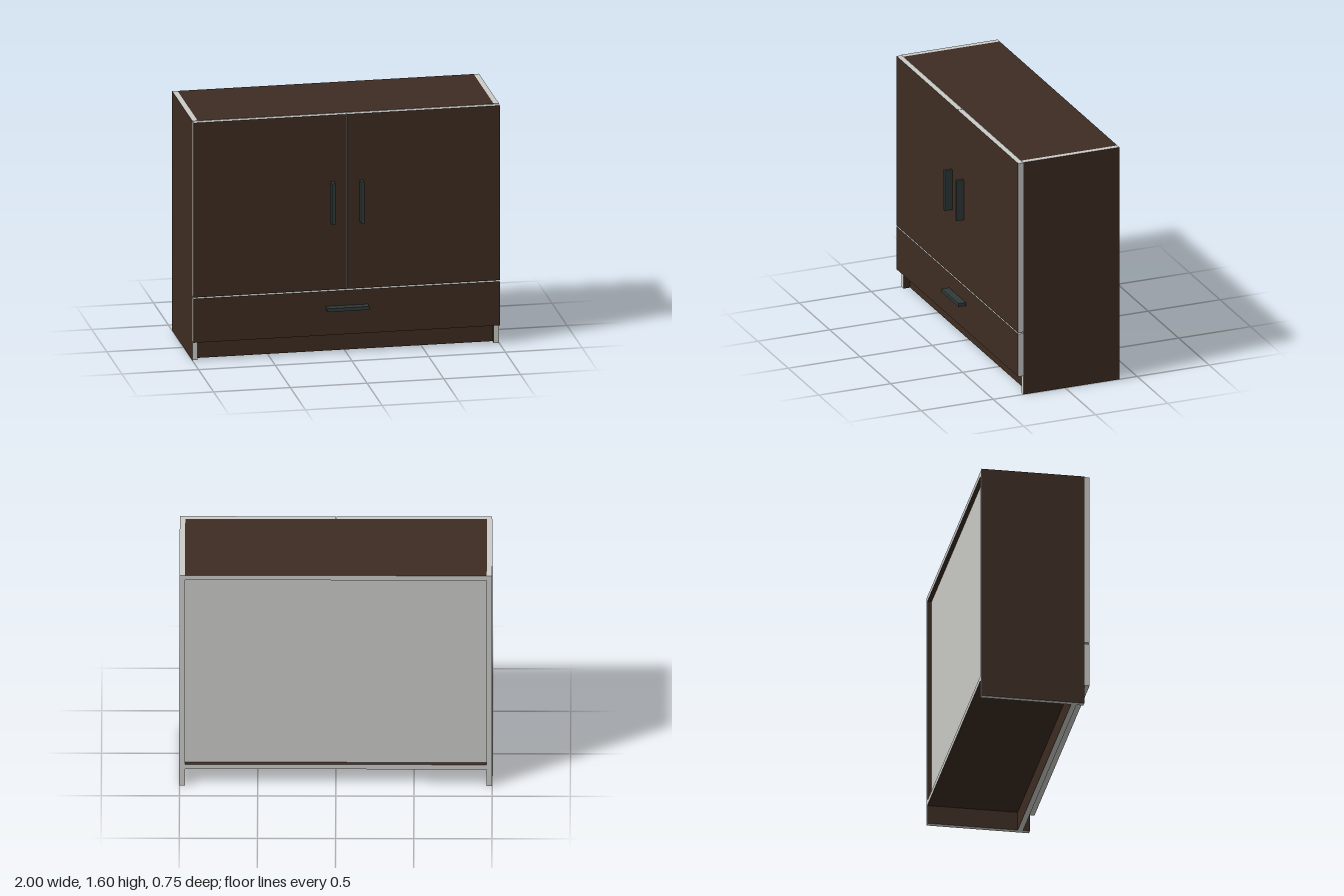
import * as THREE from 'three';

export function createModel() {
  const model = new THREE.Group();
  model.name = 'cabinet';
  const mat = (name, color) => {
    const m = new THREE.MeshStandardMaterial({ color });
    m.name = name;
    return m;
  };
  const wood = mat('dark wood', 0x3d2c22);
  const edge = mat('pale board edge', 0xcbcbc8);
  const metal = mat('dark metal', 0x303a3a);

  // Box given by its min and max corners
  function box(name, x, y, z, material, parent = model) {
    const g = new THREE.BoxGeometry(x[1] - x[0], y[1] - y[0], z[1] - z[0]);
    const mesh = new THREE.Mesh(g, material);
    mesh.name = name;
    mesh.position.set((x[0] + x[1]) / 2, (y[0] + y[1]) / 2, (z[0] + z[1]) / 2);
    parent.add(mesh);
    return mesh;
  }
  // Board: wood on the two faces across the given axis, pale on the edges
  function board(name, axis, x, y, z) {
    const i = 'xyz'.indexOf(axis);
    const mats = [0, 0, 1, 1, 2, 2].map((a) => (a === i ? wood : edge));
    return box(name, x, y, z, mats);
  }

  const T = 0.035, H = 1.6, IN = 1 - T;
  const back = -0.377, front = 0.29, face = front + T;
  const inner = [-IN, IN];

  // Carcass
  board('rightSide', 'x', [-1, -IN], [0, H], [back, front]);
  board('leftSide', 'x', [IN, 1], [0, H], [back, front]);
  board('topPanel', 'y', inner, [H - T, H], [back, front]);
  board('bottomPanel', 'y', inner, [0.125, 0.125 + T], [back, front]);
  board('drawerDivider', 'y', inner, [0.405, 0.44], [back + 0.045, front]);
  board('plinth', 'z', inner, [0, 0.125], [0.21, 0.245]);
  box('backPanel', inner, [0.125 + T, H - T], [back + 0.028, back + 0.042], edge);

  // Doors and drawer front
  board('rightDoor', 'z', [-0.998, -0.002], [0.43, 1.597], [front, face]);
  board('leftDoor', 'z', [0.002, 0.998], [0.43, 1.597], [front, face]);
  board('drawerFront', 'z', [-0.998, 0.998], [0.127, 0.421], [front, face]);

  // Handles
  const grip = [face, 0.377];
  box('rightDoorHandle', [-0.105, -0.083], [0.877, 1.153], grip, metal);
  box('leftDoorHandle', [0.083, 0.105], [0.877, 1.153], grip, metal);
  box('drawerHandle', [-0.138, 0.138], [0.297, 0.32], grip, metal);

  return model;
}
